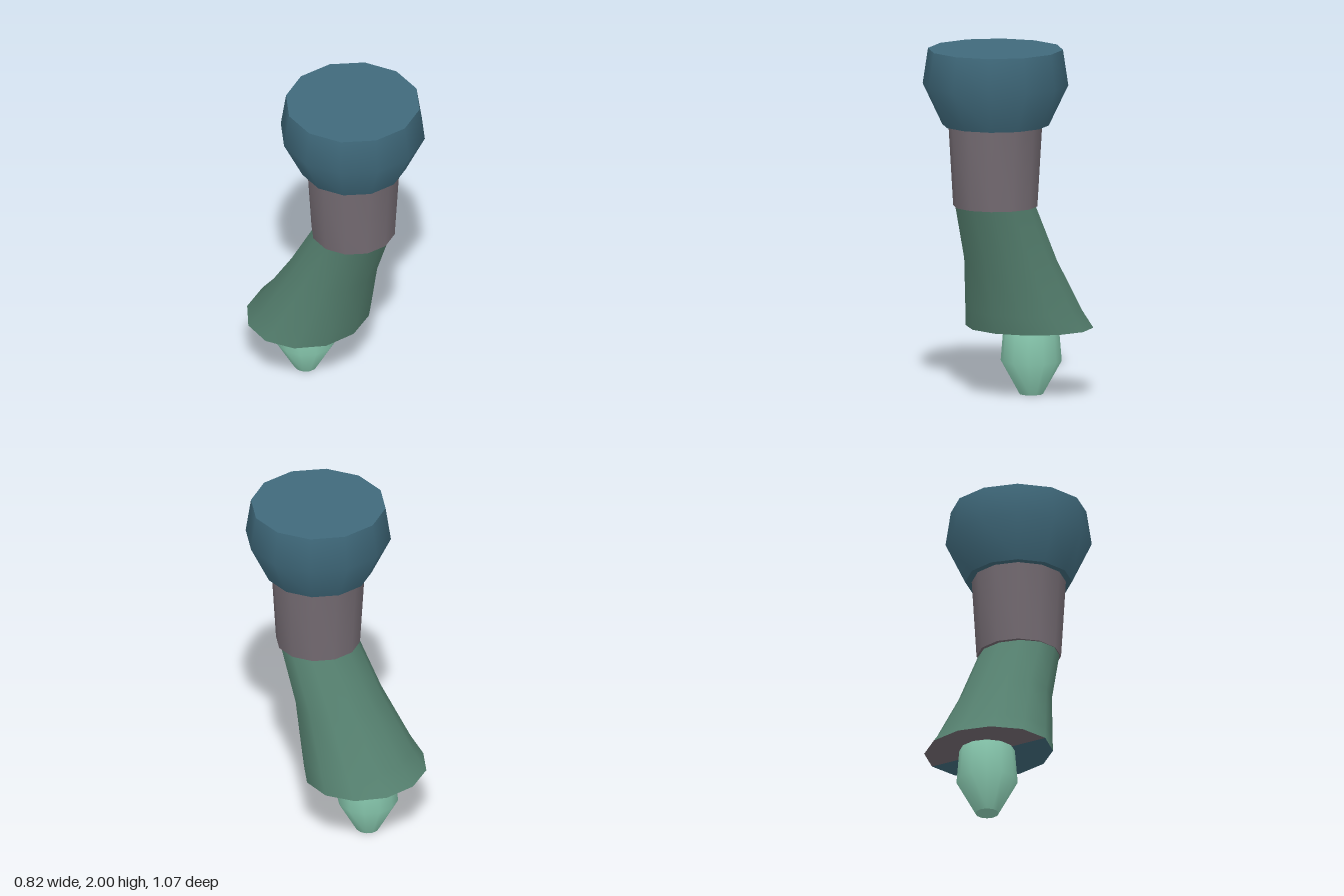
import * as THREE from 'three';
import { mergeVertices } from 'three/addons/utils/BufferGeometryUtils.js';

const SIDES = 12;
const mat = (name, color) => {
  const m = new THREE.MeshStandardMaterial({ color });
  m.name = name;
  return m;
};

// Smooth 12-sided wall through rings [y, radius, centreZ], bottom to top; depth scales z
function wall(rings, depth = 1) {
  const lathe = new THREE.LatheGeometry(rings.map(([y, r]) => new THREE.Vector2(r, y)), SIDES);
  const pos = lathe.attributes.position;
  for (let i = 0; i < pos.count; i++) {
    pos.setZ(i, pos.getZ(i) * depth + rings[i % rings.length][2]);
  }
  lathe.deleteAttribute('uv');
  lathe.deleteAttribute('normal');
  const g = mergeVertices(lathe, 1e-5);
  g.computeVertexNormals();
  return g;
}

// Flat end facing up or down; start and arc allow half discs
function disc([y, r, z], up, depth = 1, start = 0, arc = Math.PI * 2) {
  const g = new THREE.CircleGeometry(r, Math.round(SIDES * arc / (Math.PI * 2)), start, arc);
  g.rotateX(up ? -Math.PI / 2 : Math.PI / 2);
  g.scale(1, 1, depth);
  g.translate(0, y, z);
  return g;
}

export function createModel() {
  const blue = mat('slate blue', 0x406a7c);
  const grey = mat('warm grey', 0x746b72);
  const green = mat('dull green', 0x55806f);
  const mint = mat('mint', 0x8dd0b5);

  const model = new THREE.Group();
  model.name = 'model';
  const add = (parent, name, geometry, material) => {
    const m = new THREE.Mesh(geometry, material);
    m.name = name;
    parent.add(m);
  };
  const solid = (name, rings, material) => {
    const part = new THREE.Group();
    part.name = name;
    add(part, name + 'Side', wall(rings), material);
    add(part, name + 'Bottom', disc(rings[0], false), material);
    add(part, name + 'Top', disc(rings[rings.length - 1], true), material);
    model.add(part);
  };

  // Upright parts
  solid('head', [[1.57, 0.3, 0.125], [1.8, 0.41, 0.125], [2, 0.38, 0.125]], blue);
  solid('collar', [[1.11, 0.237, 0.127], [1.57, 0.264, 0.127]], grey);
  solid('tip', [[0, 0.066, -0.22], [0.19, 0.172, -0.22], [0.385, 0.156, -0.22]], mint);

  // Slanted flaring body, slightly flattened front to back
  const depth = 0.905;
  const rings = [[0.385, 0.37, -0.203], [0.49, 0.338, -0.148], [0.79, 0.268, -0.02], [1.11, 0.234, 0.125]];
  const body = new THREE.Group();
  body.name = 'body';
  add(body, 'bodySide', wall(rings, depth), green);
  add(body, 'undersideFront', disc(rings[0], false, depth, 0, Math.PI), blue);
  add(body, 'undersideBack', disc(rings[0], false, depth, Math.PI, Math.PI), grey);
  model.add(body);

  return model;
}
